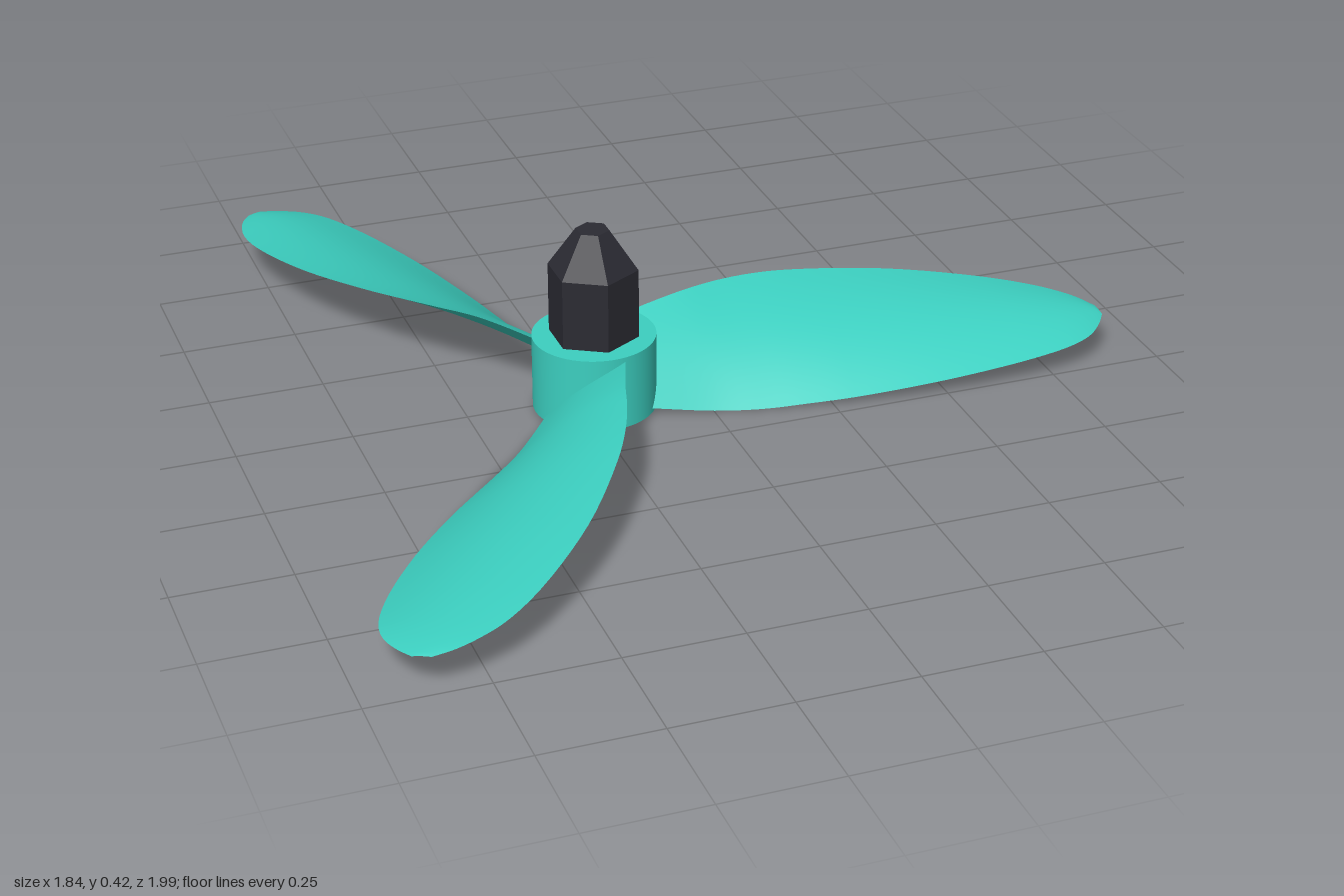
import * as THREE from 'three';

const teal = new THREE.MeshStandardMaterial({ color: 0x3ccfc0 });
teal.name = 'teal';
const black = new THREE.MeshStandardMaterial({ color: 0x2b2b33 });
black.name = 'black';

// Blade stations: radius, leading z, trailing z, leading y, trailing y
const STATIONS = [
  [0.05, -0.078, 0.078, 0.160, 0.030],
  [0.10, -0.087, 0.086, 0.170, 0.024],
  [0.23, -0.112, 0.113, 0.186, 0.008],
  [0.33, -0.135, 0.139, 0.187, 0.007],
  [0.43, -0.149, 0.162, 0.182, 0.014],
  [0.53, -0.152, 0.183, 0.172, 0.022],
  [0.73, -0.136, 0.210, 0.147, 0.041],
  [0.93, -0.085, 0.216, 0.118, 0.060],
  [1.03, -0.040, 0.203, 0.103, 0.069],
  [1.08, -0.003, 0.180, 0.096, 0.073],
  [1.115, 0.033, 0.147, 0.090, 0.077],
  [1.14, 0.073, 0.112, 0.084, 0.081],
];

// One skin of the blade; side is +1 for the upper face, -1 for the lower
function bladeSkin(side) {
  const edge = (zi, yi) => new THREE.CatmullRomCurve3(
    STATIONS.map((s) => new THREE.Vector3(s[0], s[yi], s[zi])));
  const lead = edge(1, 3), trail = edge(2, 4);
  const rows = 55, cols = 14;
  const pos = [], index = [];
  for (let i = 0; i <= rows; i++) {
    const t = i / rows;
    const a = lead.getPoint(t), b = trail.getPoint(t);
    const chord = Math.hypot(b.y - a.y, b.z - a.z);
    const ny = (b.z - a.z) / chord, nz = (a.y - b.y) / chord;
    const half = chord * 0.035 * (i === rows ? 0 : 1);
    for (let j = 0; j <= cols; j++) {
      const u = j / cols;
      const bulge = Math.sin(Math.PI * u) * (side * half + chord * 0.025);
      const p = a.clone().lerp(b, u);
      pos.push(p.x, p.y + ny * bulge, p.z + nz * bulge);
      if (i < rows && j < cols) {
        const k = i * (cols + 1) + j, n = k + cols + 1;
        if (side > 0) index.push(k, k + 1, n, k + 1, n + 1, n);
        else index.push(k, n, k + 1, k + 1, n, n + 1);
      }
    }
  }
  const g = new THREE.BufferGeometry();
  g.setAttribute('position', new THREE.Float32BufferAttribute(pos, 3));
  g.setIndex(index);
  g.computeVertexNormals();
  return g;
}

function addPart(parent, name, geometry, material, y = 0) {
  const mesh = new THREE.Mesh(geometry, material);
  mesh.name = name;
  mesh.position.y = y;
  parent.add(mesh);
  return mesh;
}

export function createModel() {
  const model = new THREE.Group();
  model.name = 'propeller';
  const rotor = new THREE.Group();
  rotor.name = 'rotor';
  rotor.position.set(-0.23, 0, 0.043);
  model.add(rotor);

  // Round hub
  addPart(rotor, 'hub', new THREE.CylinderGeometry(0.132, 0.132, 0.165, 64), teal, 0.0975);

  // Hexagonal nut with a tapered top, corners pointing along z
  addPart(rotor, 'nut', new THREE.CylinderGeometry(0.097, 0.097, 0.165, 6).toNonIndexed(), black, 0.2525)
    .geometry.computeVertexNormals();
  addPart(rotor, 'nutTip', new THREE.CylinderGeometry(0.036, 0.097, 0.087, 6).toNonIndexed(), black, 0.3785)
    .geometry.computeVertexNormals();

  // Three twisted blades
  const upper = bladeSkin(1), lower = bladeSkin(-1);
  for (let i = 0; i < 3; i++) {
    const blade = new THREE.Group();
    blade.name = 'blade' + (i + 1);
    blade.rotation.y = (i * Math.PI * 2) / 3;
    addPart(blade, 'bladeUpperFace', upper, teal);
    addPart(blade, 'bladeLowerFace', lower, teal);
    rotor.add(blade);
  }
  return model;
}
